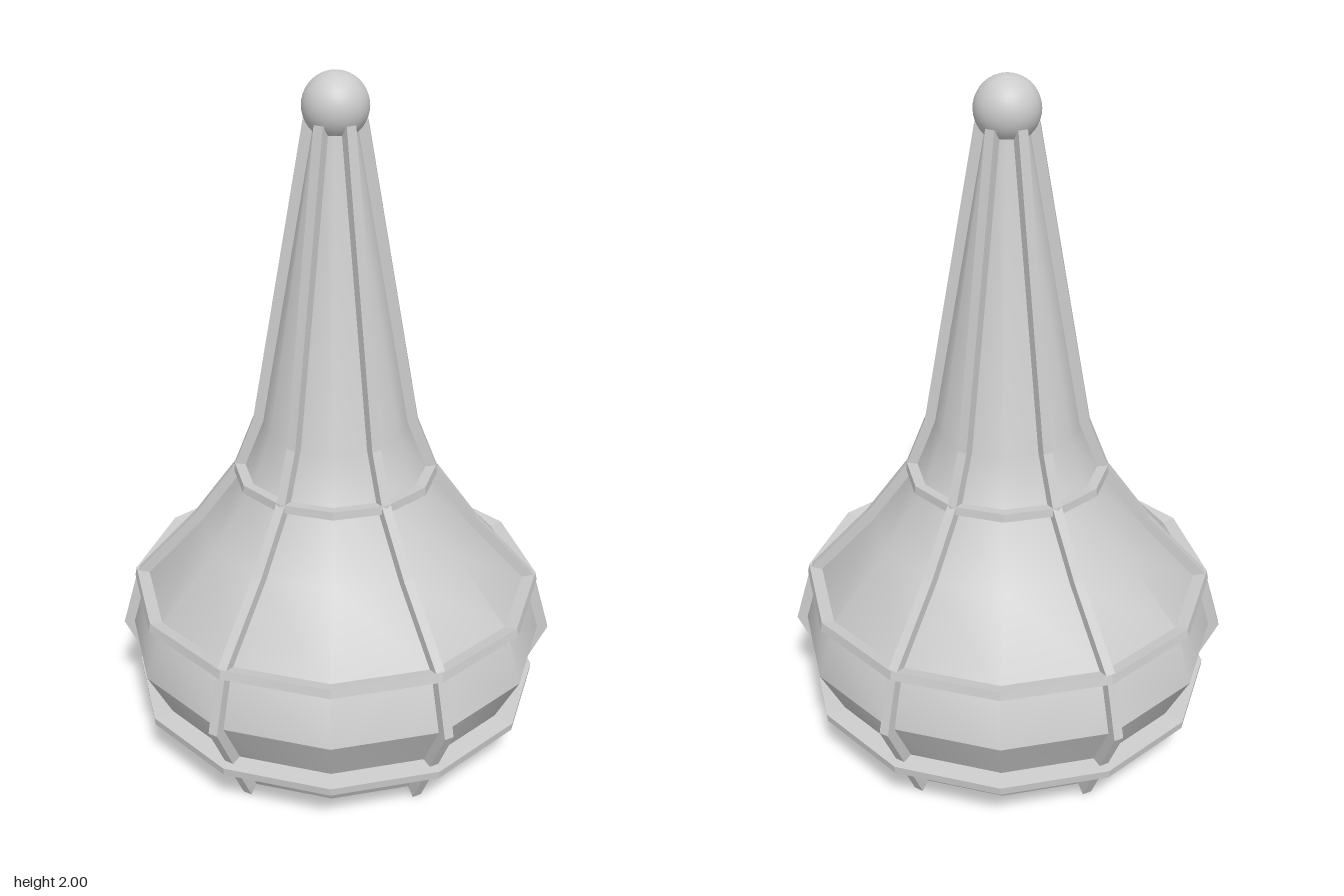
import * as THREE from 'three';
import { toCreasedNormals } from 'three/addons/utils/BufferGeometryUtils.js';

const SIDES = 12;
const grey = new THREE.MeshStandardMaterial({ color: 0xcccccc });
const greyFlat = new THREE.MeshStandardMaterial({ color: 0xcccccc, flatShading: true });
const greyShell = new THREE.MeshStandardMaterial({ color: 0xcccccc, side: THREE.DoubleSide });

// Shell outline as [radius, height], bottom to top
const profile = [
  [0.468, 0.02], [0.618, 0.315], [0.572, 0.48], [0.395, 0.675],
  [0.268, 0.85], [0.21, 1.0], [0.06, 1.87],
].map(([r, y]) => new THREE.Vector2(r, y));

// Outline moved outward by d along mitred normals
function offsetProfile(d) {
  return profile.map((p, i) => {
    const a = profile[Math.max(i - 1, 0)];
    const b = profile[Math.min(i + 1, profile.length - 1)];
    const normal = (u, v) => new THREE.Vector2(v.y - u.y, u.x - v.x).normalize();
    const n1 = i > 0 ? normal(a, p) : normal(p, b);
    const n2 = i < profile.length - 1 ? normal(p, b) : n1;
    const n = n1.clone().add(n2).normalize();
    return p.clone().addScaledVector(n, d / n.dot(n1));
  });
}

// Twelve-sided hoop with a tilted rectangular section
function hoop(name, inner, outer, y, height, tilt) {
  const w = (outer - inner) / 2, h = height / 2;
  const centre = new THREE.Vector2((inner + outer) / 2, y);
  const section = [[-w, -h], [w, -h], [w, h], [-w, h], [-w, -h]].map(([x, v]) =>
    new THREE.Vector2(x, v).rotateAround(new THREE.Vector2(), tilt).add(centre));
  const mesh = new THREE.Mesh(new THREE.LatheGeometry(section, SIDES), greyFlat);
  mesh.name = name;
  return mesh;
}

export function createModel() {
  const model = new THREE.Group();
  model.name = 'taperedDome';
  // Turns the corners of the shell to their place around the axis
  model.rotation.y = THREE.MathUtils.degToRad(22);

  // Open-bottomed shell
  const shell = new THREE.Mesh(
    toCreasedNormals(new THREE.LatheGeometry(profile, SIDES), 0.62), greyShell);
  shell.name = 'shell';
  model.add(shell);

  // Ribs over every second corner, running through the shell wall
  const ribWidth = 0.028;
  const outline = [...offsetProfile(0.026), ...offsetProfile(-0.02).reverse()];
  outline[0].y = 0;
  const ribGeometry = new THREE.ExtrudeGeometry(new THREE.Shape(outline),
    { depth: ribWidth, bevelEnabled: false });
  ribGeometry.translate(0, 0, -ribWidth / 2);
  const ribs = new THREE.Group();
  ribs.name = 'ribs';
  for (let i = 0; i < 6; i++) {
    const rib = new THREE.Mesh(ribGeometry, greyFlat);
    rib.name = 'rib';
    rib.rotation.y = i * Math.PI / 3;
    ribs.add(rib);
  }
  model.add(ribs);

  // Hoops around the shell
  model.add(
    hoop('lowerHoop', 0.525, 0.603, 0.16, 0.024, -0.1),
    hoop('middleHoop', 0.55, 0.603, 0.48, 0.026, 0.2),
    hoop('upperHoop', 0.245, 0.296, 0.85, 0.024, 0.1),
  );

  // Ball on the tip
  const ball = new THREE.Mesh(new THREE.SphereGeometry(0.09, 32, 20), grey);
  ball.name = 'finialBall';
  ball.position.y = 1.91;
  model.add(ball);

  const root = new THREE.Group();
  root.add(model);
  return root;
}
